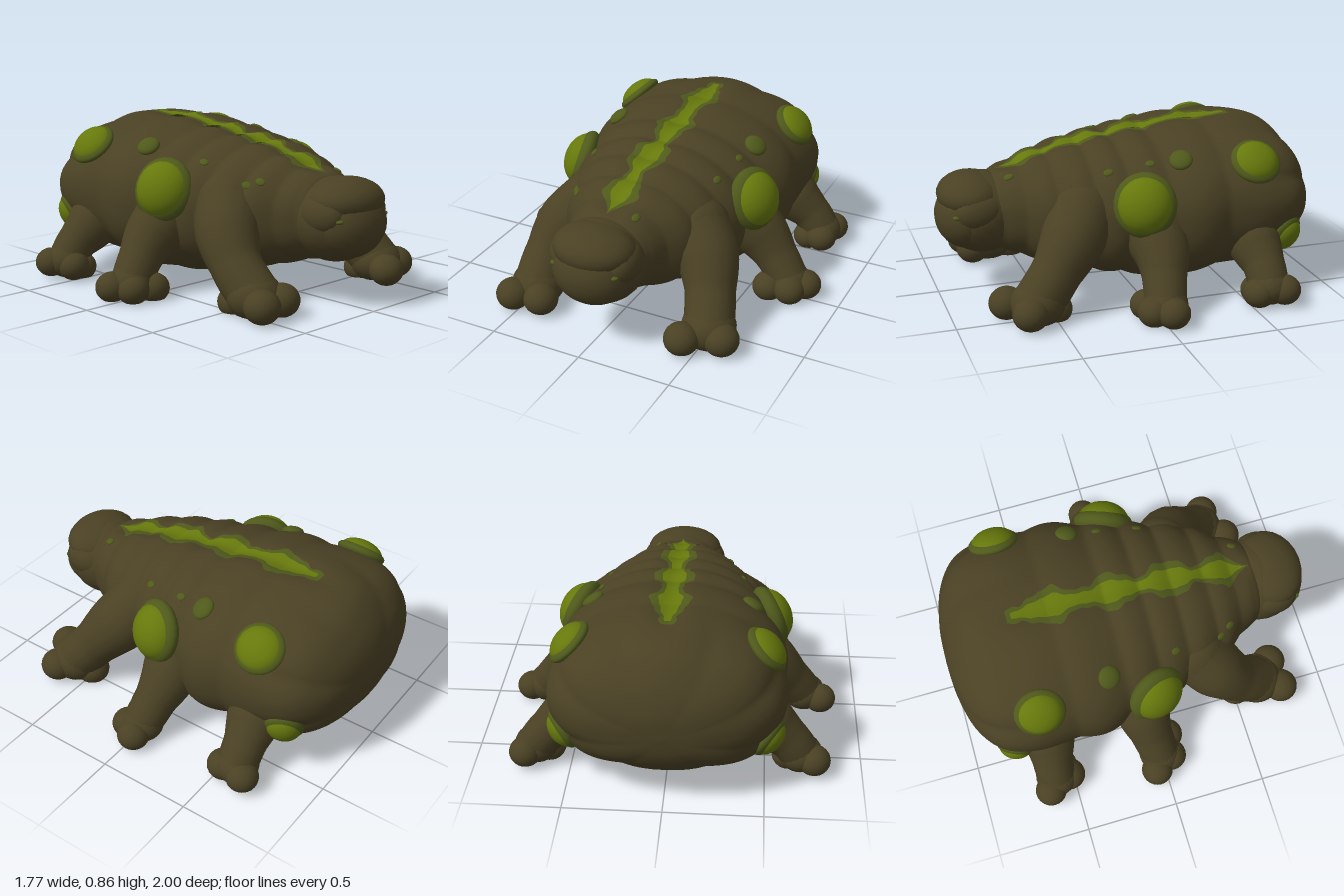
import * as THREE from 'three';
import { mergeVertices } from 'three/addons/utils/BufferGeometryUtils.js';

const V = (x, y, z) => new THREE.Vector3(x, y, z);
const { smoothstep, lerp } = THREE.MathUtils;

// Body profile from tail to neck: z, top, bottom, half width
const PROFILE = [
  [-1.0, 0.45, 0.45, 0], [-0.985, 0.58, 0.33, 0.21], [-0.93, 0.71, 0.23, 0.41],
  [-0.82, 0.825, 0.145, 0.55], [-0.65, 0.88, 0.09, 0.61], [-0.45, 0.89, 0.06, 0.615],
  [-0.22, 0.865, 0.045, 0.595], [0.0, 0.84, 0.06, 0.54], [0.16, 0.815, 0.09, 0.49],
  [0.32, 0.785, 0.13, 0.44], [0.46, 0.75, 0.17, 0.37], [0.57, 0.715, 0.2, 0.295],
  [0.66, 0.685, 0.24, 0.24], [0.72, 0.62, 0.3, 0.18], [0.74, 0.45, 0.45, 0],
];
const heights = new THREE.CatmullRomCurve3(PROFILE.map(p => V(p[0], p[1], p[2])), false, 'catmullrom');
const widths = new THREE.CatmullRomCurve3(PROFILE.map(p => V(p[0], p[3], 0)), false, 'catmullrom');
const FOLDS = [-1.3, -0.42, -0.12, 0.07, 0.24, 0.42, 0.57, 0.9];
const boxy = v => Math.sign(v) * Math.pow(Math.abs(v), 0.84);

// Point on the hide: u runs tail to neck, t runs round from the spine
function hide(u, t) {
  const h = heights.getPoint(u), hw = widths.getPoint(u).y, z = h.x;
  const k = FOLDS.findIndex(f => f > z);
  const s = (z - FOLDS[k - 1]) / (FOLDS[k] - FOLDS[k - 1]);
  let f = k > 1 || s > 0.5 ? 1 - 0.05 * (1 - Math.sin(Math.PI * s)) : 1;
  f *= 1 - 0.06 * smoothstep(-z, 0.45, 0.85) * (1 - Math.abs(Math.cos(4 * t)));
  const c = Math.cos(t), low = c < 0;
  const x = f * hw * (low ? boxy(Math.sin(t)) : Math.sin(t));
  let y = (h.y + h.z) / 2 + f * (h.y - h.z) / 2 * (low ? boxy(c) : Math.pow(c, 0.92));
  if (!low) y -= 0.028 * Math.exp(-((x / 0.07) ** 2)) * smoothstep(z, -0.8, -0.5) * smoothstep(-z, -0.72, -0.62);
  return V(x, y, z);
}

function uAtZ(z) {
  let a = 0, b = 1;
  for (let i = 0; i < 24; i++) {
    const m = (a + b) / 2;
    if (heights.getPoint(m).x < z) a = m; else b = m;
  }
  return (a + b) / 2;
}

function smooth(geo) {
  geo.deleteAttribute('uv');
  geo.deleteAttribute('normal');
  const g = mergeVertices(geo, 1e-5);
  g.computeVertexNormals();
  return g;
}

// Surface from a rule over a grid
function grid(fn, nu, nv) {
  const pos = [], idx = [];
  for (let i = 0; i <= nu; i++) for (let j = 0; j <= nv; j++) pos.push(...fn(i / nu, j / nv).toArray());
  for (let i = 0; i < nu; i++) for (let j = 0; j < nv; j++) {
    const a = i * (nv + 1) + j, b = a + nv + 1;
    idx.push(a, b, a + 1, a + 1, b, b + 1);
  }
  const g = new THREE.BufferGeometry();
  g.setAttribute('position', new THREE.Float32BufferAttribute(pos, 3));
  g.setIndex(idx);
  return smooth(g);
}

function flattenSole(g) {
  const p = g.attributes.position;
  for (let i = 0; i < p.count; i++) if (p.getY(i) < 0.015) p.setY(i, 0.015);
  return g;
}

export function createModel() {
  const root = new THREE.Group();
  const material = (name, color, side = THREE.FrontSide) => {
    const m = new THREE.MeshStandardMaterial({ color, side });
    m.name = name;
    return m;
  };
  const brown = material('brown hide', 0x4a4124);
  const rimGreen = material('dull green rim', 0x4f591b, THREE.DoubleSide);
  const green = material('bright green', 0x66780c, THREE.DoubleSide);
  const add = (name, geo, mat, parent = root) => {
    const m = new THREE.Mesh(geo, mat);
    m.name = name;
    parent.add(m);
    return m;
  };
  const lump = (name, c, r, mat, parent = root) => {
    const g = new THREE.SphereGeometry(1, 24, 16);
    g.scale(...r).translate(...c);
    return add(name, smooth(flattenSole(g)), mat, parent);
  };

  // Folded body
  add('body', grid((u, v) => hide(u, v * Math.PI * 2), 160, 96), brown);

  // Head: skull, heavy brow, blunt muzzle and cheeks
  const head = new THREE.Group();
  head.name = 'head';
  root.add(head);
  lump('skull', [0, 0.445, 0.75], [0.235, 0.215, 0.225], brown, head);
  lump('brow', [0, 0.55, 0.81], [0.215, 0.115, 0.175], brown, head);
  lump('muzzle', [0, 0.435, 0.835], [0.21, 0.175, 0.165], brown, head);
  for (const s of [-1, 1]) {
    lump('cheek', [s * 0.155, 0.49, 0.79], [0.085, 0.1, 0.13], brown, head);
    lump('eye', [s * 0.168, 0.475, 0.91], [0.02, 0.012, 0.024], rimGreen, head);
  }

  // Legs: tapered limb, then foot, two spread toes and heel
  const LEGS = [
    ['frontRightLeg', [[-0.3, 0.48, 0.29], [-0.41, 0.37, 0.39], [-0.46, 0.23, 0.51], [-0.46, 0.11, 0.63]],
      [0.18, 0.165, 0.13, 0.13], [[-0.535, 0.095, 0.755], [-0.38, 0.095, 0.735], [-0.47, 0.06, 0.51]]],
    ['frontLeftLeg', [[0.3, 0.48, 0.29], [0.41, 0.37, 0.38], [0.48, 0.23, 0.49], [0.52, 0.11, 0.59]],
      [0.18, 0.165, 0.13, 0.13], [[0.435, 0.095, 0.73], [0.615, 0.095, 0.65], [0.5, 0.06, 0.5]]],
    ['middleRightLeg', [[-0.41, 0.41, -0.05], [-0.54, 0.3, -0.05], [-0.64, 0.19, -0.03], [-0.71, 0.1, -0.01]],
      [0.17, 0.15, 0.115, 0.105], [[-0.8, 0.085, -0.05], [-0.74, 0.08, 0.045], [-0.62, 0.07, 0.06]]],
    ['middleLeftLeg', [[0.41, 0.41, -0.05], [0.54, 0.3, -0.06], [0.64, 0.19, -0.04], [0.71, 0.1, -0.02]],
      [0.17, 0.15, 0.115, 0.105], [[0.8, 0.085, -0.03], [0.74, 0.08, 0.05], [0.62, 0.07, 0.05]]],
    ['rearRightLeg', [[-0.44, 0.35, -0.58], [-0.53, 0.27, -0.58], [-0.62, 0.19, -0.59], [-0.68, 0.11, -0.59]],
      [0.15, 0.14, 0.11, 0.105], [[-0.75, 0.1, -0.64], [-0.69, 0.09, -0.52], [-0.62, 0.07, -0.55]]],
    ['rearLeftLeg', [[0.44, 0.35, -0.58], [0.53, 0.27, -0.59], [0.62, 0.19, -0.6], [0.68, 0.11, -0.6]],
      [0.15, 0.14, 0.11, 0.105], [[0.73, 0.1, -0.665], [0.705, 0.09, -0.535], [0.62, 0.07, -0.56]]],
  ];
  for (const [name, path, radii, toes] of LEGS) {
    const leg = new THREE.Group();
    leg.name = name;
    root.add(leg);
    const curve = new THREE.CatmullRomCurve3(path.map(p => V(...p)));
    const n = 20, sides = 18;
    const g = new THREE.TubeGeometry(curve, n, 1, sides), p = g.attributes.position, q = V();
    for (let i = 0; i < p.count; i++) {
      const u = Math.floor(i / (sides + 1)) / n, c = curve.getPointAt(u);
      const k = Math.min(Math.floor(u * 3), 2), r = lerp(radii[k], radii[k + 1], u * 3 - k);
      q.fromBufferAttribute(p, i).sub(c).multiplyScalar(r).add(c);
      p.setXYZ(i, q.x, q.y, q.z);
    }
    add('limb', smooth(flattenSole(g)), brown, leg);
    lump('shoulder', path[0], [radii[0], radii[0], radii[0]], brown, leg);
    lump('foot', path[3], [radii[3] * 1.08, radii[3] * 0.92, radii[3] * 1.08], brown, leg);
    const r = name.startsWith('front') ? 0.092 : 0.085;
    toes.forEach((c, i) => lump(i < 2 ? 'toe' : 'heel', c, [r, r * 0.92, r], brown, leg));
  }

  // Blisters set into the hide, each with a dull rim
  const samples = [];
  for (let i = 1; i < 120; i++) for (let j = 1; j < 60; j++) samples.push([i / 120, j / 60 * Math.PI]);
  function onHide(x, y, z) {
    const target = V(Math.abs(x), y, z);
    let best = samples[0], d = Infinity;
    for (const s of samples) {
      const e = hide(...s).distanceToSquared(target);
      if (e < d) { d = e; best = s; }
    }
    const [u, t] = best, at = hide(u, t);
    const du = hide(u + 0.03, t).sub(hide(u - 0.03, t)), dt = hide(u, t + 0.12).sub(hide(u, t - 0.12));
    const normal = du.cross(dt).normalize();
    if (x < 0) { at.x *= -1; normal.x *= -1; }
    return { at, normal };
  }
  const ball = new THREE.SphereGeometry(1, 24, 16);
  function blister(name, target, across, along, high, mat) {
    const { at, normal } = onHide(...target);
    const side = V(0, 0, 1).cross(normal).normalize();
    const m = add(name, ball, mat);
    m.quaternion.setFromRotationMatrix(new THREE.Matrix4().makeBasis(side, normal, side.clone().cross(normal)));
    m.position.copy(at);
    m.scale.set(across, high, along);
  }
  const BLISTERS = [
    [[0.5, 0.565, 0.03], 0.15, 0.145, 0.115],
    [[0.46, 0.7, -0.59], 0.115, 0.12, 0.07],
    [[0.54, 0.31, -0.78], 0.1, 0.09, 0.07],
  ];
  for (const s of [-1, 1]) {
    for (const [[x, y, z], a, l, h] of BLISTERS) {
      blister('blister', [s * x, y, z], a, l, h, green);
      blister('blisterRim', [s * x, y, z], a * 1.12, l * 1.12, h * 0.65, rimGreen);
    }
    blister('smallBlister', [s * 0.41, 0.75, -0.2], 0.062, 0.06, 0.03, rimGreen);
  }
  // Scattered specks
  for (const c of [[0.14, 0.67, 0.64], [-0.27, 0.62, 0.48], [-0.32, 0.61, 0.43], [0.36, 0.7, 0.17],
    [0.38, 0.72, -0.05], [-0.36, 0.71, 0.17]])
    blister('speck', c, 0.02, 0.026, 0.009, rimGreen);

  // Ragged stripe along the spine groove, bright over dull
  const jag = z => 0.07 + 0.026 * Math.cos((z + 0.08) * 20) + 0.007 * Math.sin(z * 47) + 0.004 * Math.sin(z * 83);
  function stripe(name, scale, z0, z1, lift, mat) {
    add(name, grid((a, b) => {
      const z = lerp(z0, z1, a), u = uAtZ(z);
      const taper = Math.min(1, a * 14 + 0.4, (1 - a) * 9);
      const w = Math.max(0.002, jag(z) * scale * taper);
      const p = hide(u, (b * 2 - 1) * w / widths.getPoint(u).y);
      p.y += lift;
      return p;
    }, 130, 12), mat);
  }
  stripe('spineStripeRim', 1.12, -0.63, 0.68, 0.008, rimGreen);
  stripe('spineStripe', 0.64, -0.605, 0.66, 0.014, green);

  // Rest on the ground, centred
  const box = new THREE.Box3().setFromObject(root);
  const c = box.getCenter(V());
  for (const m of root.children) m.position.sub(V(c.x, box.min.y, c.z));
  return root;
}
